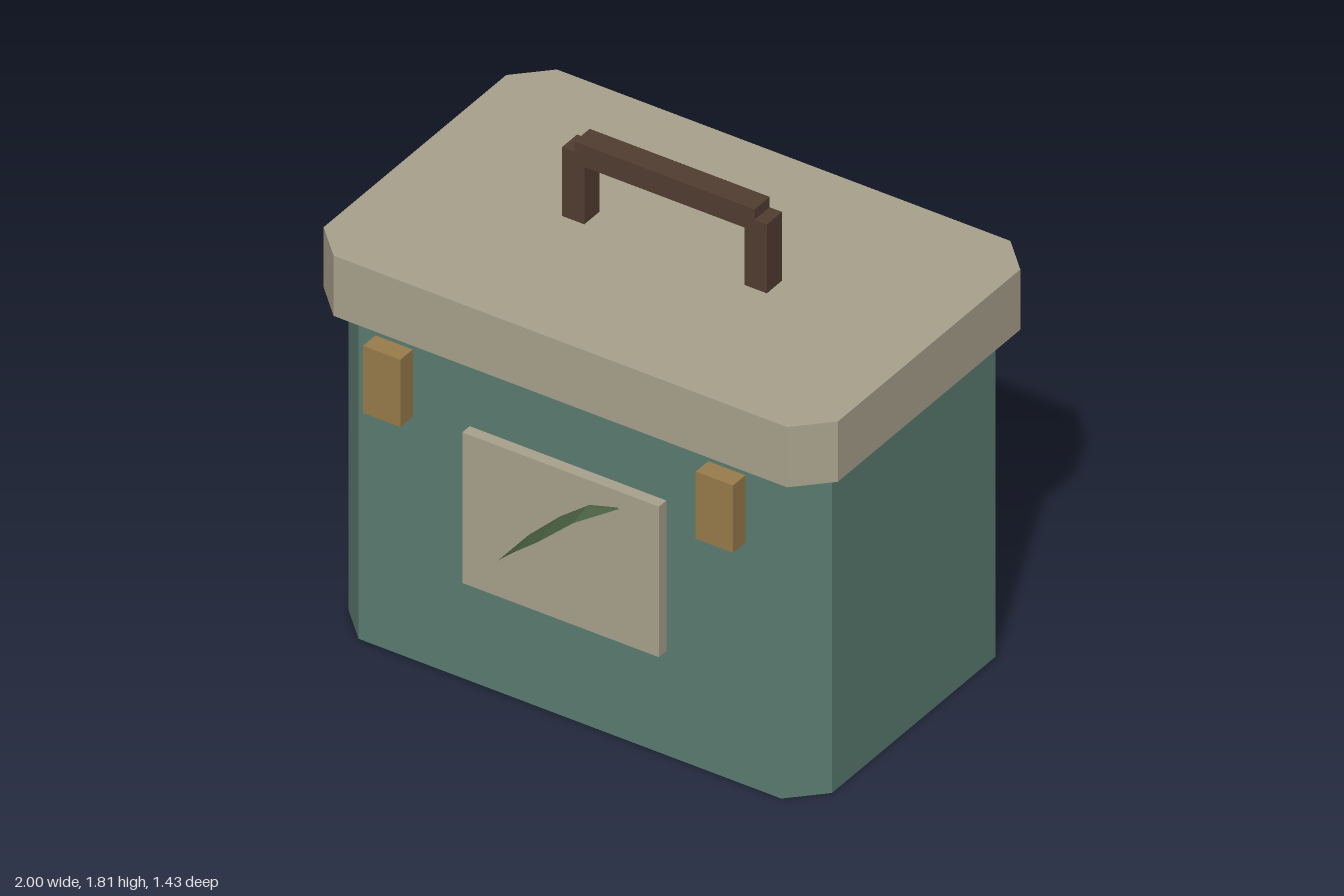
import * as THREE from 'three';

const material = (color) => new THREE.MeshStandardMaterial({ color, flatShading: true });
const CENTER_Z = -0.07;

export function createModel() {
  const model = new THREE.Group();
  model.name = 'carryBox';
  const green = material(0x5b7c70);
  const cream = material(0xa9a18c);
  const brown = material(0x523d31);
  const brass = material(0x987c4a);
  const leafGreen = material(0x4d6546);
  leafGreen.side = THREE.DoubleSide;

  function add(name, geometry, mat, x = 0, y = 0, z = 0) {
    const mesh = new THREE.Mesh(geometry, mat);
    mesh.name = name;
    mesh.position.set(x, y, z);
    model.add(mesh);
    return mesh;
  }

  // Upright block with its four vertical corners cut off
  function chamferedBlock(halfX, halfZ, height, cut) {
    const shape = new THREE.Shape([
      [halfX, halfZ - cut], [halfX - cut, halfZ], [cut - halfX, halfZ], [-halfX, halfZ - cut],
      [-halfX, cut - halfZ], [cut - halfX, -halfZ], [halfX - cut, -halfZ], [halfX, cut - halfZ],
    ].map(([x, y]) => new THREE.Vector2(x, y)));
    return new THREE.ExtrudeGeometry(shape, { depth: height, bevelEnabled: false }).rotateX(-Math.PI / 2);
  }

  // Box and lid
  add('body', chamferedBlock(0.94, 0.59, 1.27, 0.118), green, 0, 0, CENTER_Z);
  add('lid', chamferedBlock(1, 0.645, 0.235, 0.118), cream, 0, 1.267, CENTER_Z);

  // Handle: bar on two posts
  add('handleBar', new THREE.BoxGeometry(0.7, 0.085, 0.088), brown, 0, 1.768, CENTER_Z);
  for (const side of [-1, 1]) {
    const label = side > 0 ? 'left' : 'right';
    add(label + 'HandlePost', new THREE.BoxGeometry(0.087, 0.27, 0.088), brown, side * 0.355, 1.635, CENTER_Z);
    add(label + 'Latch', new THREE.BoxGeometry(0.145, 0.262, 0.072), brass, side * 0.647, 1.121, 0.61);
  }

  // Front plate
  add('frontPlate', new THREE.BoxGeometry(0.765, 0.587, 0.043), cream, 0, 0.708, 0.552);

  // Leaf: an arched blade standing out of the plate, folded along its midrib
  const midrib = [[-0.235, 0.565], [-0.115, 0.71], [0, 0.822], [0.112, 0.908], [0.235, 0.943]];
  const halfWidths = [0, 0.09, 0.13, 0.09, 0];
  const positions = [];
  const indices = [];
  midrib.forEach(([x, y], i) => {
    const fold = halfWidths[i] / 0.13;
    for (const side of [-1, 0, 1]) {
      const drop = side ? fold : 0;
      positions.push(x + 0.008 * drop, y - 0.02 * drop, 0.585 + side * halfWidths[i]);
    }
    if (i === 0) return;
    for (const column of [0, 1]) {
      const a = (i - 1) * 3 + column;
      const b = a + 3;
      if (i > 1) indices.push(a, a + 1, b + 1);
      else indices.push(a, b, b + 1);
      if (i > 1 && i < 4) indices.push(a, b + 1, b);
    }
  });
  const leaf = new THREE.BufferGeometry();
  leaf.setAttribute('position', new THREE.Float32BufferAttribute(positions, 3));
  leaf.setIndex(indices);
  leaf.computeVertexNormals();
  add('leaf', leaf, leafGreen);

  return model;
}
